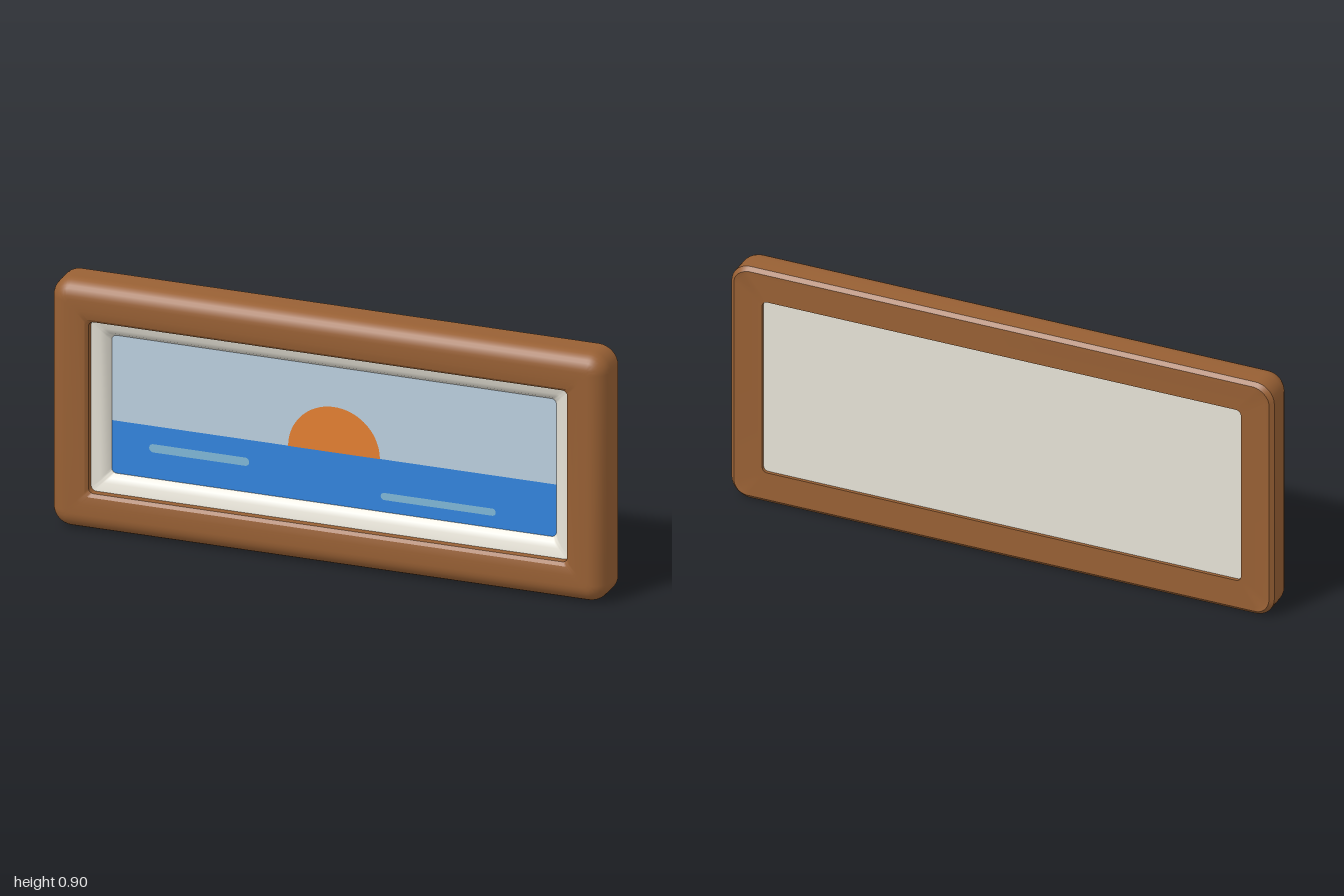
import * as THREE from 'three';
import { toCreasedNormals } from 'three/addons/utils/BufferGeometryUtils.js';

const MID_Y = 0.45;

function material(name, color) {
  const m = new THREE.MeshStandardMaterial({ color });
  m.name = name;
  return m;
}

// Outline of a rounded rectangle, counter-clockwise; tip is 1 at the middle of each corner
function roundedLoop(halfW, halfH, radius, steps = 8) {
  const points = [];
  [[1, 1], [-1, 1], [-1, -1], [1, -1]].forEach(([sx, sy], corner) => {
    for (let k = 0; k <= steps; k++) {
      const a = (corner + k / steps) * Math.PI / 2;
      points.push({
        x: sx * (halfW - radius) + radius * Math.cos(a),
        y: sy * (halfH - radius) + radius * Math.sin(a),
        tip: Math.sin(Math.PI * k / steps),
      });
    }
  });
  return points;
}

// Sweep a closed [inset, z, cornerLift] profile round a rounded rectangle
function ringGeometry(halfW, halfH, radius, minRadius, profile) {
  const positions = [], index = [];
  let n = 0;
  for (const [inset, z, lift = 0] of profile) {
    const loop = roundedLoop(halfW - inset, halfH - inset, Math.max(radius - inset, minRadius));
    n = loop.length;
    for (const p of loop) positions.push(p.x, p.y + MID_Y, z - lift * p.tip);
  }
  for (let j = 0; j < profile.length; j++) {
    const j2 = (j + 1) % profile.length;
    for (let i = 0; i < n; i++) {
      const i2 = (i + 1) % n;
      const a = j * n + i, b = j * n + i2, c = j2 * n + i2, d = j2 * n + i;
      index.push(a, b, c, a, c, d);
    }
  }
  const g = new THREE.BufferGeometry();
  g.setAttribute('position', new THREE.Float32BufferAttribute(positions, 3));
  g.setIndex(index);
  return toCreasedNormals(g, 0.6);
}

// Quarter-round from the outer wall to the front face
function outerRound(r, z, steps = 8) {
  return Array.from({ length: steps + 1 }, (_, k) => {
    const a = k / steps * Math.PI / 2;
    return [r - r * Math.cos(a), z + r * Math.sin(a)];
  });
}

export function createModel() {
  const group = new THREE.Group();
  const wood = material('wood', 0x986034);
  const card = material('card', 0xeae6da);
  const sky = material('sky', 0xbcd0e0);
  const sea = material('sea', 0x3385de);
  const sun = material('sun', 0xe48032);
  const foam = material('foam', 0x80b8d8);

  function add(name, geometry, mat, x = 0, y = 0, z = 0) {
    const mesh = new THREE.Mesh(geometry, mat);
    mesh.name = name;
    mesh.position.set(x, y, z);
    group.add(mesh);
  }

  // Frame: round outer edge, small inner bevel, rabbet and chamfer at the back
  add('frame', ringGeometry(1, 0.45, 0.07, 0.018, [
    [0.03, -0.07],
    [0.014, -0.07, 0.004],
    [0, -0.058],
    ...outerRound(0.062, 0.011),
    [0.1, 0.0725],
    [0.128, 0.07],
    [0.139, 0.059],
    [0.139, -0.03],
    [0.118, -0.03],
    [0.118, -0.07],
  ]), wood);

  // Mat sloping in to the picture
  add('mat', ringGeometry(0.875, 0.325, 0.02, 0.018, [
    [0, -0.03],
    [0, 0.036],
    [0.045, 0.028],
    [0.062, 0.018],
    [0.075, 0],
    [0.075, -0.03],
  ]), card);

  // Backing panel, set slightly into the frame
  add('backPanel', new THREE.BoxGeometry(1.766, 0.666, 0.024), card, 0, MID_Y, -0.046);

  // Painted scene, in thin layers
  const horizon = 0.39, z = -0.004;
  add('skyPlate', new THREE.BoxGeometry(1.62, 0.71 - horizon, 0.006), sky, 0, (0.71 + horizon) / 2, z);
  add('seaPlate', new THREE.BoxGeometry(1.62, horizon - 0.19, 0.006), sea, 0, (0.19 + horizon) / 2, z);
  add('settingSun', new THREE.CircleGeometry(0.165, 40, 0, Math.PI), sun, 0, horizon, z + 0.005);

  // Wave streaks with round ends
  for (const [x0, x1, y, r] of [[-0.665, -0.305, 0.31, 0.015], [0.168, 0.582, 0.257, 0.013]]) {
    const s = new THREE.Shape();
    s.absarc(x1 - r, y, r, -Math.PI / 2, Math.PI / 2);
    s.absarc(x0 + r, y, r, Math.PI / 2, Math.PI * 1.5);
    add('waveStreak', new THREE.ShapeGeometry(s), foam, 0, 0, z + 0.005);
  }
  return group;
}
